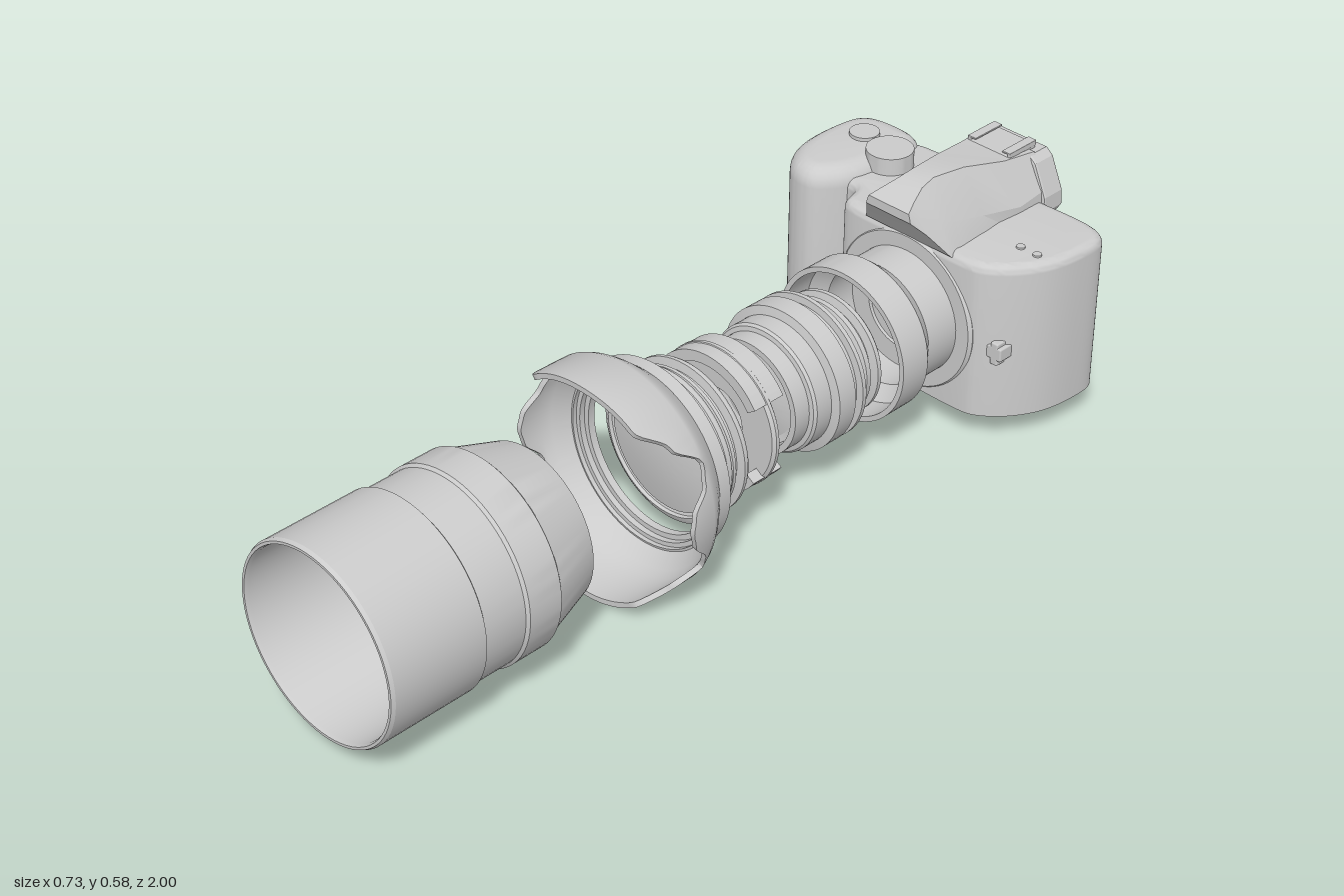
import * as THREE from 'three';
import { toCreasedNormals } from 'three/addons/utils/BufferGeometryUtils.js';
import { RoundedBoxGeometry } from 'three/addons/geometries/RoundedBoxGeometry.js';

const CX = 0.055, CY = 0.258; // optical axis
const grey = new THREE.MeshStandardMaterial({ color: 0xcccccc });
const thin = new THREE.MeshStandardMaterial({ color: 0xcccccc, side: THREE.DoubleSide });

export function createModel() {
  const root = new THREE.Group();
  root.name = 'explodedCamera';
  const group = (name) => {
    const g = new THREE.Group();
    g.name = name;
    root.add(g);
    return g;
  };
  const add = (parent, name, geo, mat = grey) => {
    const m = new THREE.Mesh(geo, mat);
    m.name = name;
    parent.add(m);
    return m;
  };
  const vec = (pts) => pts.map(([a, b]) => new THREE.Vector2(a, b));

  // Turned part on the optical axis: [radius, z] pairs, outside with rising z
  const turned = (pts, segs = 72) => {
    const g = new THREE.LatheGeometry(vec(pts), segs).rotateX(Math.PI / 2).translate(CX, CY, 0);
    return toCreasedNormals(g, 0.45);
  };
  // Upright block from a plan of [x, -z] points: rounded top edge, flat bottom
  const block = (pts, y0, y1, bevel) => {
    const curve = new THREE.CatmullRomCurve3(pts.map(([x, y]) => new THREE.Vector3(x, y, 0)), true, 'centripetal');
    const plan = new THREE.Shape(vec(curve.getPoints(90).slice(0, -1).map((p) => [p.x, p.y])));
    const depth = y1 - y0 - bevel;
    const g = new THREE.ExtrudeGeometry(plan, { depth, bevelThickness: bevel, bevelSize: bevel, bevelOffset: -bevel, bevelSegments: 6 });
    g.rotateX(-Math.PI / 2).translate(0, y0, 0);
    const p = g.attributes.position;
    for (let i = 0; i < p.count; i++) p.setY(i, Math.max(y0, p.getY(i)));
    return toCreasedNormals(g, 0.6);
  };
  const box = (parent, name, w, h, d, x, y, z, r = 0.004) =>
    add(parent, name, new RoundedBoxGeometry(w, h, d, 2, r)).position.set(x, y, z);
  const disc = (parent, name, r, h, x, y, z) => {
    const c = add(parent, name, toCreasedNormals(new THREE.CylinderGeometry(r * 0.97, r, h, 40), 0.6));
    c.position.set(x, y, z);
    return c;
  };

  // Front barrel, open at both ends
  const front = group('frontBarrel');
  add(front, 'barrelShell', turned([
    [0.165, 0.455], [0.174, 0.455], [0.212, 0.575], [0.218, 0.58], [0.218, 0.66], [0.212, 0.666], [0.212, 0.765],
    [0.219, 0.77], [0.219, 0.992], [0.215, 1], [0.209, 1], [0.206, 0.99], [0.202, 0.58], [0.165, 0.455],
  ]), thin);

  // Petal hood: the front edge is trimmed by a rule around the axis
  const hood = group('lensHood');
  const edgeCurve = [[0, 0.32], [33, 0.315], [48, 0.26], [60, 0.205], [70, 0.215], [82, 0.255], [90, 0.262]];
  const edge = (deg) => {
    const i = Math.min(5, edgeCurve.findIndex((e, k) => k === 6 || deg <= edgeCurve[k + 1][0]));
    const [a, za] = edgeCurve[i], [b, zb] = edgeCurve[i + 1];
    return za + (zb - za) * THREE.MathUtils.smoothstep(deg, a, b);
  };
  const petals = new THREE.LatheGeometry(vec([
    [0.2, 0.15], [0.214, 0.15], [0.236, 0.175], [0.248, 0.192], [0.254, 0.205], [0.255, 0.33],
    [0.243, 0.33], [0.242, 0.205], [0.232, 0.188], [0.2, 0.15],
  ]), 144).rotateX(Math.PI / 2).translate(CX, CY, 0);
  const hp = petals.attributes.position;
  for (let i = 0; i < hp.count; i++) {
    const deg = THREE.MathUtils.radToDeg(Math.atan2(Math.abs(hp.getX(i) - CX), Math.abs(hp.getY(i) - CY)));
    hp.setZ(i, Math.min(hp.getZ(i), edge(deg)));
  }
  add(hood, 'petals', toCreasedNormals(petals, 0.6), thin);
  add(hood, 'hoodMount', turned([
    [0.178, 0.118], [0.212, 0.118], [0.212, 0.155], [0.2, 0.158], [0.2, 0.148], [0.19, 0.148], [0.19, 0.135], [0.178, 0.135], [0.178, 0.118],
  ]), thin);

  // Front lens group: grooved mount with a domed glass at each end
  add(group('frontLensGroup'), 'frontElement', turned([
    [0, 0.01], [0.06, 0.013], [0.11, 0.02], [0.135, 0.026], [0.15, 0.024], [0.17, 0.024], [0.174, 0.03], [0.174, 0.038],
    [0.155, 0.042], [0.155, 0.05], [0.165, 0.054], [0.165, 0.062], [0.152, 0.066], [0.172, 0.072], [0.176, 0.078],
    [0.176, 0.088], [0.166, 0.094], [0.16, 0.096], [0.158, 0.088], [0.152, 0.086], [0.15, 0.09], [0.1, 0.1], [0.05, 0.106], [0, 0.108],
  ]));

  // Diaphragm: thin ring between an upper and a lower curved pad
  const iris = group('diaphragm');
  add(iris, 'irisRing', turned([
    [0.07, -0.08], [0.155, -0.08], [0.162, -0.074], [0.162, -0.066], [0.155, -0.06], [0.07, -0.06], [0.07, -0.08],
  ]), thin);
  for (const [name, turn] of [['upperPad', 0], ['lowerPad', Math.PI]]) {
    const a0 = THREE.MathUtils.degToRad(34), a1 = Math.PI - a0;
    const arc = new THREE.Shape().absarc(0, 0, 0.16, a0, a1, false).absarc(0, 0, 0.135, a1, a0, true);
    const g = new THREE.ExtrudeGeometry(arc, { depth: 0.082, bevelEnabled: false, curveSegments: 28 });
    g.rotateZ(turn).translate(CX, CY, -0.113);
    add(iris, name, toCreasedNormals(g, 0.5));
  }

  // Middle barrel with stepped collars
  add(group('middleBarrel'), 'middleHousing', turned([
    [0, -0.322], [0.06, -0.324], [0.11, -0.316], [0.14, -0.316], [0.14, -0.33], [0.166, -0.33], [0.166, -0.32], [0.15, -0.318],
    [0.15, -0.302], [0.166, -0.298], [0.166, -0.25], [0.147, -0.245], [0.147, -0.202], [0.142, -0.196], [0.132, -0.194],
    [0.132, -0.153], [0.118, -0.153], [0.114, -0.175], [0.1, -0.18], [0.05, -0.168], [0, -0.164],
  ]));

  // Rear lens group
  add(group('rearLensGroup'), 'rearElement', turned([
    [0, -0.412], [0.06, -0.409], [0.11, -0.402], [0.135, -0.41], [0.14, -0.405], [0.14, -0.395], [0.122, -0.39], [0.122, -0.383],
    [0.135, -0.378], [0.135, -0.366], [0.12, -0.36], [0.1, -0.355], [0.05, -0.347], [0, -0.344],
  ]));

  // Rear barrel, open at the front
  add(group('rearBarrel'), 'rearShell', turned([
    [0.148, -0.65], [0.148, -0.545], [0.178, -0.508], [0.178, -0.432], [0.166, -0.432], [0.166, -0.505],
    [0.138, -0.54], [0.138, -0.62], [0.09, -0.62], [0.09, -0.628], [0, -0.628],
  ]), thin);

  // Camera body
  const body = group('cameraBody');
  add(body, 'mainBody', block([
    [-0.2, 0.942], [0.1, 0.944], [0.32, 0.942], [0.355, 0.915], [0.36, 0.84], [0.343, 0.755], [0.3, 0.685], [0.25, 0.645],
    [0.22, 0.638], [0.05, 0.637], [-0.115, 0.638], [-0.14, 0.65], [-0.16, 0.7], [-0.22, 0.72], [-0.23, 0.9],
  ], 0.07, 0.447, 0.022));
  add(body, 'grip', block([
    [-0.18, 0.935], [-0.3, 0.944], [-0.345, 0.915], [-0.364, 0.82], [-0.35, 0.71], [-0.3, 0.652],
    [-0.24, 0.645], [-0.195, 0.69], [-0.172, 0.75], [-0.165, 0.85],
  ], 0.07, 0.475, 0.045));
  add(body, 'lensMount', turned([[0, -0.75], [0.188, -0.75], [0.188, -0.64], [0.182, -0.632], [0, -0.632]]));

  // Viewfinder hump lofted along z: z, then half width and height at base, shoulder and ridge
  const sections = [
    [-0.955, 0.118, 0.4, 0.112, 0.47, 0.072, 0.546],
    [-0.87, 0.118, 0.4, 0.112, 0.46, 0.06, 0.552],
    [-0.76, 0.12, 0.42, 0.1, 0.48, 0.038, 0.573],
    [-0.675, 0.125, 0.42, 0.095, 0.5, 0.028, 0.579],
    [-0.635, 0.12, 0.44, 0.085, 0.51, 0.032, 0.572],
    [-0.595, 0.085, 0.495, 0.07, 0.525, 0.045, 0.558],
    [-0.567, 0.062, 0.525, 0.06, 0.535, 0.056, 0.546],
  ];
  const pos = [], idx = [];
  for (const [z, b, yb, m, ym, t, yt] of sections)
    for (const [x, y] of [[b, yb], [m, ym], [t, yt], [-t, yt], [-m, ym], [-b, yb]]) pos.push(CX + x, y, z);
  const last = (sections.length - 1) * 6;
  for (let s = 0; s < last; s += 6)
    for (let j = 0; j < 6; j++) {
      const k = (j + 1) % 6;
      idx.push(s + j, s + k, s + 6 + k, s + j, s + 6 + k, s + 6 + j);
    }
  for (let j = 1; j < 5; j++) idx.push(last, last + j, last + j + 1, 0, j + 1, j);
  const hump = new THREE.BufferGeometry();
  hump.setAttribute('position', new THREE.Float32BufferAttribute(pos, 3));
  hump.setIndex(idx);
  add(body, 'viewfinderHump', toCreasedNormals(hump, 0.4));

  // Eyepiece: chamfered frame around a recessed window
  const eyeOutline = (s) => vec([
    [-0.112, -0.062], [0.112, -0.062], [0.118, -0.052], [0.116, -0.02], [0.085, 0.05], [0.07, 0.062],
    [-0.07, 0.062], [-0.085, 0.05], [-0.116, -0.02], [-0.118, -0.052],
  ].map(([x, y]) => [x * s, y * s]));
  const eye = new THREE.Shape(eyeOutline(1));
  eye.holes.push(new THREE.Path(eyeOutline(0.74)));
  add(body, 'eyepieceFrame', new THREE.ExtrudeGeometry(eye, { depth: 0.05, bevelThickness: 0.006, bevelSize: 0.006, bevelSegments: 2 }))
    .position.set(CX, 0.474, -0.994);
  add(body, 'eyepieceWindow', new THREE.ExtrudeGeometry(new THREE.Shape(eyeOutline(0.85)), { depth: 0.03, bevelEnabled: false }))
    .position.set(CX, 0.474, -0.975);

  // Accessory shoe
  box(body, 'shoeBase', 0.115, 0.012, 0.09, CX, 0.546, -0.932);
  for (const s of [-1, 1]) {
    box(body, 'shoeRail', 0.008, 0.012, 0.088, CX + s * 0.055, 0.554, -0.932, 0.002);
    box(body, 'shoeLip', 0.022, 0.004, 0.088, CX + s * 0.048, 0.559, -0.932, 0.001);
  }

  // Dials and buttons on top
  disc(body, 'modeDial', 0.055, 0.06, -0.17, 0.457, -0.826);
  disc(body, 'smallDial', 0.035, 0.03, -0.264, 0.468, -0.847);
  disc(body, 'shutterButton', 0.017, 0.016, -0.24, 0.437, -0.667).rotation.x = 0.75;
  disc(body, 'gripButton', 0.008, 0.012, -0.235, 0.462, -0.69).rotation.x = 0.5;
  for (const x of [0.26, 0.305]) disc(body, 'shoulderButton', 0.01, 0.012, x, 0.445, -0.76);

  // Strap lug beside the mount
  box(body, 'lugPlate', 0.02, 0.055, 0.03, 0.288, 0.238, -0.672);
  box(body, 'lugBar', 0.05, 0.032, 0.05, 0.282, 0.24, -0.682);

  // Rear screen and controls
  box(body, 'screenFrame', 0.38, 0.262, 0.012, 0.04, 0.222, -0.942);
  box(body, 'screen', 0.35, 0.235, 0.008, 0.04, 0.222, -0.946, 0.003);
  box(body, 'padAcross', 0.06, 0.02, 0.014, -0.205, 0.165, -0.943);
  box(body, 'padUpright', 0.02, 0.06, 0.014, -0.205, 0.165, -0.943);
  for (const y of [0.28, 0.32]) disc(body, 'rearButton', 0.011, 0.016, -0.2, y, -0.942).rotation.x = -Math.PI / 2;

  return root;
}
